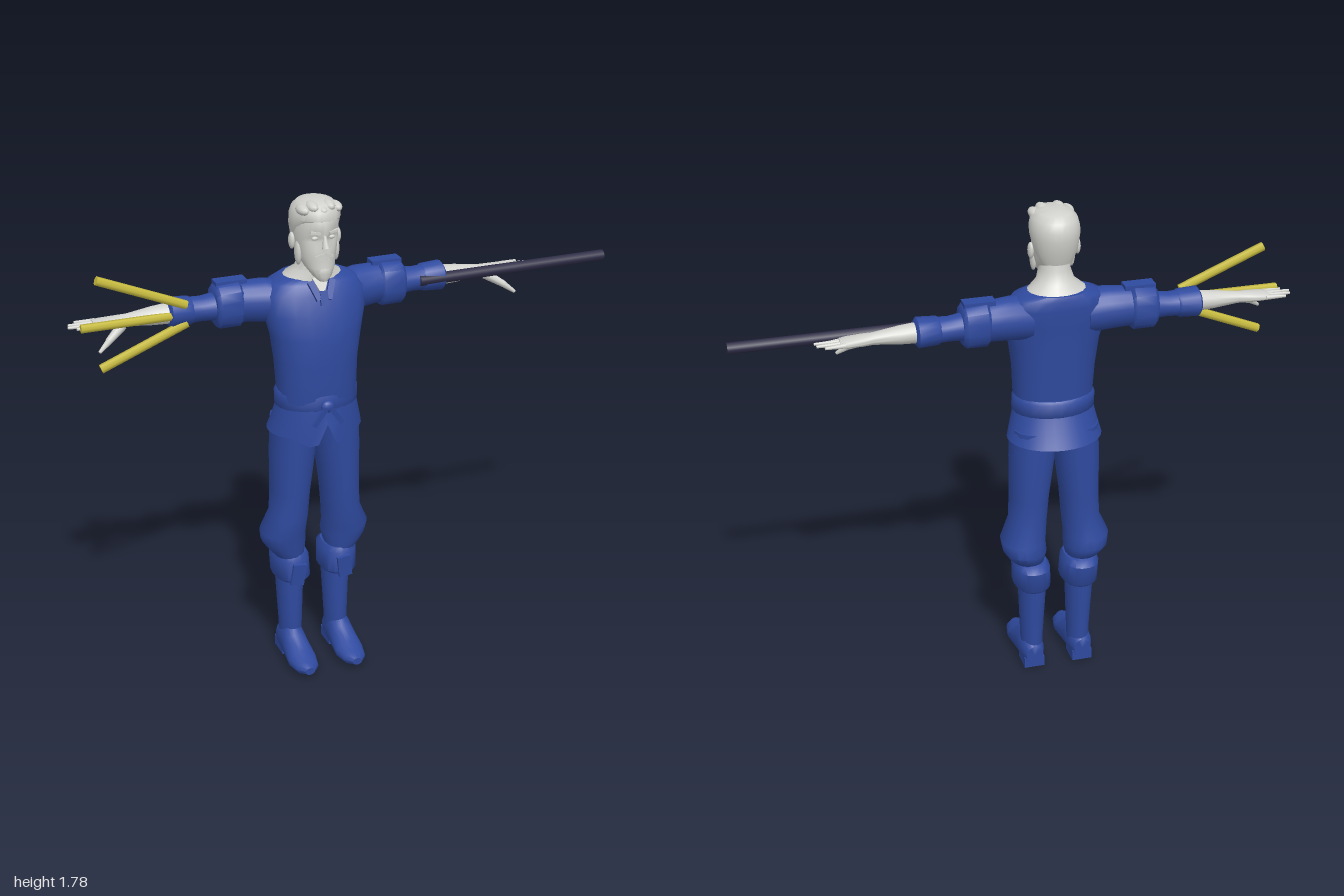
import * as THREE from 'three';
import { toCreasedNormals } from 'three/addons/utils/BufferGeometryUtils.js';

const CX = -0.135; // body centre line

// Closed skin over rings [t, u, v, ru, rv] along an axis: y (u=x,v=z), x (u=y,v=z), z (u=x,v=y)
function loft(axis, rings, { seg = 18, power = 1, rule = null, caps = true, crease = 0.8 } = {}) {
  const pos = [], idx = [];
  const put = (t, u, v) => {
    const p = axis === 'y' ? new THREE.Vector3(u, t, v) : axis === 'x' ? new THREE.Vector3(t, u, v) : new THREE.Vector3(u, v, t);
    if (rule) rule(p);
    pos.push(p.x, p.y, p.z);
  };
  const soft = (n) => Math.sign(n) * Math.abs(n) ** power;
  for (const [t, u, v, ru, rv] of rings) {
    for (let j = 0; j < seg; j++) {
      const a = (j / seg) * Math.PI * 2;
      put(t, u + ru * soft(Math.cos(a)), v + rv * soft(Math.sin(a)));
    }
  }
  const last = rings.length - 1;
  const flip = (axis !== 'y') !== (rings[last][0] < rings[0][0]);
  const tri = (a, b, c) => (flip ? idx.push(a, c, b) : idx.push(a, b, c));
  for (let i = 0; i < last; i++) {
    for (let j = 0; j < seg; j++) {
      const k = (j + 1) % seg, a = i * seg, b = a + seg;
      tri(a + j, b + j, a + k);
      tri(b + j, b + k, a + k);
    }
  }
  if (caps) {
    const n = (last + 1) * seg;
    put(...rings[0].slice(0, 3));
    put(...rings[last].slice(0, 3));
    for (let j = 0; j < seg; j++) {
      const k = (j + 1) % seg;
      tri(n, j, k);
      tri(n + 1, last * seg + k, last * seg + j);
    }
  }
  const g = new THREE.BufferGeometry();
  g.setAttribute('position', new THREE.Float32BufferAttribute(pos, 3));
  g.setIndex(idx);
  return toCreasedNormals(g, crease);
}

// Tapered rod between two points
function rod(from, to, r0, r1, sides = 8) {
  const a = new THREE.Vector3(...from), b = new THREE.Vector3(...to);
  const dir = b.clone().sub(a);
  const g = new THREE.CylinderGeometry(r1, r0, dir.length(), sides);
  g.applyQuaternion(new THREE.Quaternion().setFromUnitVectors(new THREE.Vector3(0, 1, 0), dir.clone().normalize()));
  const c = a.add(b).multiplyScalar(0.5);
  return g.translate(c.x, c.y, c.z);
}

export function createModel() {
  const group = new THREE.Group();
  const mat = (name, color) => Object.assign(new THREE.MeshStandardMaterial({ color, side: THREE.DoubleSide }), { name });
  const cloth = mat('blue cloth', 0x2f4a9f);
  const skin = mat('pale grey', 0xd0d0cc);
  const yellow = mat('yellow', 0xc8bc40);
  const dark = mat('dark staff', 0x2c2b45);
  const add = (name, geo, m) => {
    const mesh = new THREE.Mesh(geo, m);
    mesh.name = name;
    group.add(mesh);
    return mesh;
  };
  const box = (name, m, size, at, rot = [0, 0, 0]) => {
    const b = add(name, new THREE.BoxGeometry(...size), m);
    b.position.set(...at);
    b.rotation.set(...rot);
    return b;
  };
  const ball = (name, m, r, at) => {
    const b = add(name, new THREE.SphereGeometry(1, 12, 8), m);
    b.scale.set(...r);
    b.position.set(...at);
    return b;
  };

  // Torso, belt and flared tunic skirt
  const body = (rows) => rows.map(([y, cz, rx, rz]) => [y, CX, cz, rx, rz]);
  add('torso', loft('y', body([
    [1.0, 0, 0.138, 0.1], [1.08, 0.004, 0.142, 0.104], [1.2, 0, 0.148, 0.112], [1.3, 0, 0.162, 0.112],
    [1.38, -0.012, 0.182, 0.108], [1.45, -0.026, 0.182, 0.1], [1.485, -0.034, 0.155, 0.092], [1.502, -0.04, 0.11, 0.08],
  ]), { seg: 24, power: 0.88 }), cloth);
  add('belt', loft('y', body([
    [1.03, 0, 0.142, 0.106], [1.04, -0.002, 0.15, 0.113], [1.09, -0.004, 0.15, 0.113], [1.1, -0.002, 0.143, 0.106],
  ]), { seg: 24 }), cloth);
  const hem = (p) => { // pointed front flaps with an opening in the middle
    if (p.y < 0.96) {
      const d = Math.abs(p.x - CX);
      if (p.z > 0) p.y += d < 0.02 ? 0.05 : -0.035 * Math.max(0, 1 - Math.abs(d - 0.055) / 0.07);
    }
  };
  add('tunicSkirt', loft('y', body([
    [0.935, -0.024, 0.172, 0.14], [0.99, -0.01, 0.158, 0.124], [1.05, 0, 0.144, 0.109],
  ]), { seg: 32, rule: hem, caps: false }), cloth);
  ball('beltKnot', cloth, [0.025, 0.022, 0.014], [CX, 1.055, 0.116]);
  for (const s of [-1, 1]) box('beltTie', cloth, [0.018, 0.08, 0.01], [CX + s * 0.03, 1.02, 0.12], [0.1, 0, s * 0.6]);

  // Open collar
  const vee = new THREE.Shape([[-0.03, 0.035], [0, -0.035], [0.03, 0.035]].map((p) => new THREE.Vector2(...p)));
  const opening = add('collarOpening', new THREE.ExtrudeGeometry(vee, { depth: 0.008, bevelEnabled: false }), skin);
  opening.position.set(CX, 1.475, 0.062);
  opening.rotation.x = -0.45;
  for (const s of [-1, 1]) box('collarFlap', cloth, [0.022, 0.07, 0.012], [CX + s * 0.028, 1.47, 0.074], [-0.45, 0, -s * 0.35]);
  box('collarTab', cloth, [0.028, 0.05, 0.01], [CX, 1.445, 0.088], [-0.3, 0, 0]);

  // Neck and head
  add('neck', loft('y', body([
    [1.48, -0.035, 0.12, 0.085], [1.506, -0.03, 0.1, 0.08], [1.53, -0.016, 0.067, 0.064], [1.57, -0.004, 0.055, 0.056], [1.64, 0, 0.052, 0.054],
  ])), skin);
  const face = (p) => { // narrow the front, press in the eye sockets
    const f = Math.max(0, p.z / 0.1);
    p.x = CX + (p.x - CX) * (1 - 0.15 * f);
    const d = Math.abs(p.x - CX);
    if (p.z > 0.06 && d > 0.012 && d < 0.05 && p.y > 1.64 && p.y < 1.68) p.z -= 0.012;
  };
  add('head', loft('y', body([
    [1.508, 0.08, 0.018, 0.018], [1.525, 0.07, 0.037, 0.035], [1.555, 0.046, 0.057, 0.056], [1.59, 0.022, 0.068, 0.076],
    [1.62, 0.013, 0.075, 0.087], [1.645, 0.01, 0.078, 0.091], [1.66, 0.009, 0.08, 0.093], [1.685, 0.008, 0.081, 0.098],
    [1.72, 0.006, 0.079, 0.095], [1.75, 0.005, 0.068, 0.08], [1.765, 0.005, 0.045, 0.055],
  ]), { seg: 28, rule: face, crease: 1 }), skin);
  add('nose', rod([CX, 1.672, 0.098], [CX, 1.628, 0.11], 0.005, 0.014, 6), skin);
  box('mouth', skin, [0.032, 0.007, 0.01], [CX, 1.582, 0.093]);
  ball('beard', skin, [0.03, 0.034, 0.024], [CX, 1.54, 0.081]);
  const cap = (p) => { // hairline sweeps up at the front
    if (p.z > 0.03 && p.y < 1.71) p.z = 0.03;
  };
  add('hair', loft('y', body([
    [1.6, -0.03, 0.056, 0.045], [1.64, -0.016, 0.076, 0.073], [1.69, -0.004, 0.086, 0.094], [1.72, 0.003, 0.087, 0.1],
    [1.75, 0.008, 0.079, 0.094], [1.77, 0.01, 0.06, 0.072], [1.778, 0.01, 0.03, 0.04],
  ]), { seg: 24, rule: cap, crease: 1 }), skin);
  for (let i = 0; i < 5; i++) ball('hairLock', skin, [0.022, 0.018, 0.04], [CX + (i - 2) * 0.029, 1.752 + (i % 2) * 0.01, 0.062 - Math.abs(i - 2) * 0.009]);

  for (const s of [-1, 1]) {
    const X = (d) => CX + s * d;
    const across = (rows) => rows.map(([d, ...r]) => [X(d), ...r]);
    const side = (rows) => rows.map(([y, d, ...r]) => [y, X(d), ...r]);

    // Facial features
    ball('ear', skin, [0.011, 0.03, 0.018], [X(0.083), 1.635, 0.002]);
    ball('eye', skin, [0.012, 0.007, 0.007], [X(0.03), 1.66, 0.084]);
    box('eyebrow', skin, [0.036, 0.008, 0.01], [X(0.032), 1.682, 0.096], [0, s * 0.3, s * 0.1]);
    box('moustache', skin, [0.032, 0.01, 0.01], [X(0.015), 1.6, 0.096], [0, s * 0.25, -s * 0.35]);
    ball('sideburn', skin, [0.012, 0.045, 0.02], [X(0.068), 1.598, 0.022]);

    // Sleeves with rolled edges
    add('upperSleeve', loft('x', across([
      [0.1, 1.405, -0.03, 0.08, 0.085], [0.17, 1.416, -0.05, 0.077, 0.073], [0.23, 1.418, -0.058, 0.073, 0.066], [0.3, 1.418, -0.062, 0.07, 0.062],
    ])), cloth);
    add('upperCuff', loft('x', across([
      [0.252, 1.418, -0.062, 0.07, 0.062], [0.262, 1.417, -0.062, 0.082, 0.07], [0.335, 1.415, -0.062, 0.08, 0.069], [0.347, 1.415, -0.062, 0.066, 0.058],
    ]), { seg: 14, power: 0.85 }), cloth);
    add('lowerSleeve', loft('x', across([
      [0.32, 1.413, -0.064, 0.05, 0.054], [0.39, 1.41, -0.066, 0.043, 0.047], [0.44, 1.41, -0.067, 0.045, 0.05],
    ])), cloth);
    add('lowerCuff', loft('x', across([
      [0.42, 1.41, -0.067, 0.042, 0.046], [0.43, 1.41, -0.068, 0.049, 0.054], [0.5, 1.41, -0.068, 0.053, 0.057], [0.508, 1.41, -0.068, 0.042, 0.046],
    ]), { seg: 14 }), cloth);
    box('shoulderTab', cloth, [0.11, 0.016, 0.05], [X(0.285), 1.494, -0.066]);

    // Bare forearm, hand, fingers and thumb
    add('forearm', loft('x', across([
      [0.48, 1.41, -0.067, 0.037, 0.042], [0.56, 1.408, -0.067, 0.032, 0.035], [0.65, 1.406, -0.067, 0.021, 0.025],
      [0.69, 1.405, -0.068, 0.02, 0.032], [0.74, 1.405, -0.07, 0.016, 0.037], [0.765, 1.406, -0.072, 0.011, 0.034],
    ])), skin);
    [0.06, 0.085, 0.08, 0.055].forEach((len, i) => {
      const z = -0.045 - i * 0.018;
      add('finger', rod([X(0.75), 1.406, z], [X(0.765 + len), 1.407, z - (i - 1) * 0.004], 0.0095, 0.005), skin);
    });
    add('thumb', rod([X(0.67), 1.395, -0.05], [X(0.73), 1.36, -0.01], 0.018, 0.012), skin);
    add('thumbTip', rod([X(0.725), 1.363, -0.012], [X(0.765), 1.333, 0.006], 0.012, 0.006), skin);

    // Baggy trousers gathered below the knee
    add('trouserLeg', loft('y', side([
      [0.43, 0.1, -0.035, 0.054, 0.066], [0.455, 0.108, -0.042, 0.068, 0.08], [0.485, 0.116, -0.047, 0.08, 0.09],
      [0.525, 0.12, -0.038, 0.082, 0.09], [0.6, 0.1, -0.028, 0.068, 0.088], [0.7, 0.094, -0.026, 0.07, 0.092],
      [0.85, 0.084, -0.022, 0.08, 0.098], [0.98, 0.075, -0.018, 0.084, 0.1],
    ]), { power: 0.92 }), cloth);

    // Boot with turned-down cuff
    add('bootCuff', loft('y', side([
      [0.335, 0.09, -0.048, 0.06, 0.085], [0.345, 0.09, -0.048, 0.068, 0.093], [0.42, 0.093, -0.052, 0.068, 0.092], [0.44, 0.095, -0.046, 0.058, 0.076],
    ]), { power: 0.88 }), cloth);
    box('bootCuffFlap', cloth, [0.05, 0.085, 0.012], [X(0.09), 0.37, 0.042], [0.08, 0, s * 0.12]);
    add('bootShaft', loft('y', side([
      [0.04, 0.09, -0.06, 0.04, 0.055], [0.12, 0.09, -0.056, 0.041, 0.058], [0.22, 0.09, -0.058, 0.046, 0.06], [0.36, 0.09, -0.06, 0.053, 0.062],
    ])), cloth);
    const sole = (p) => { p.y = Math.max(p.y, p.z > 0.03 ? 0.008 : 0.02); };
    const x = X(0.093);
    add('foot', loft('z', [
      [-0.118, x, 0.05, 0.032, 0.04], [-0.09, x, 0.06, 0.043, 0.06], [-0.02, x, 0.055, 0.046, 0.08], [0.02, x, 0.045, 0.049, 0.06],
      [0.08, x, 0.03, 0.054, 0.036], [0.135, x, 0.028, 0.042, 0.026], [0.163, x, 0.028, 0.018, 0.014],
    ], { rule: sole }), cloth);
    box('heel', cloth, [0.076, 0.04, 0.085], [x, 0.02, -0.073]);
  }

  // Staff beside the left arm, three yellow rods beside the right
  add('staff', rod([0.27, 1.412, -0.03], [1, 1.412, -0.03], 0.02, 0.02, 12), dark);
  add('middleRod', rod([-0.58, 1.411, -0.03], [-0.95, 1.411, -0.03], 0.015, 0.015, 6), yellow);
  for (const s of [-1, 1]) add('slantedRod', rod([-0.585, 1.412 + s * 0.032, -0.03], [-0.89, 1.415 + s * 0.157, -0.03], 0.016, 0.016, 6), yellow);

  return group;
}
